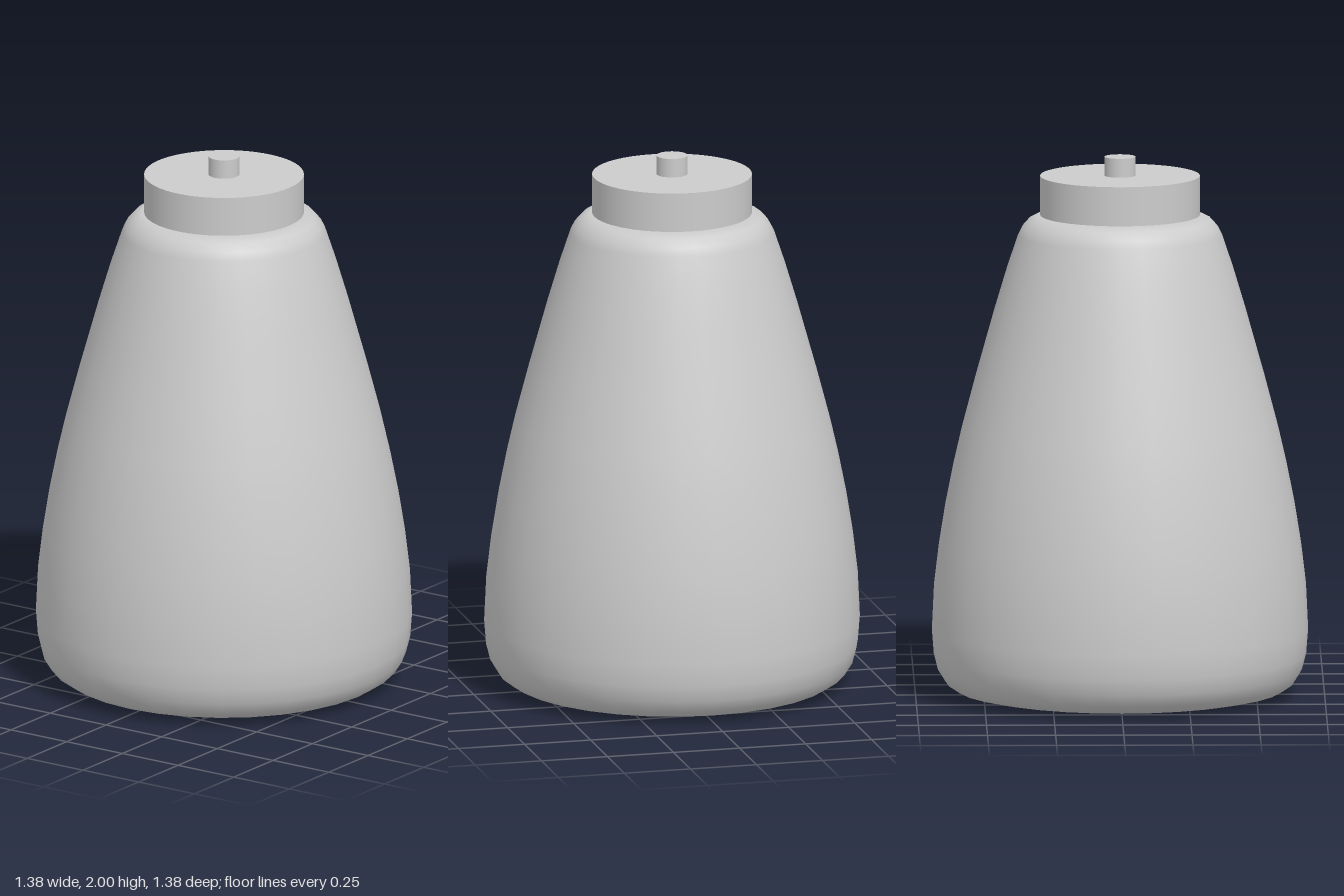
import * as THREE from 'three';

const material = new THREE.MeshStandardMaterial({ color: 0xcccccc });

function addPart(group, name, geometry, y = 0) {
  const mesh = new THREE.Mesh(geometry, material);
  mesh.name = name;
  mesh.position.y = y;
  group.add(mesh);
}

// Upright cylinder standing on y = bottom
function addDisc(group, name, radius, bottom, top) {
  const geometry = new THREE.CylinderGeometry(radius, radius, top - bottom, 64);
  addPart(group, name, geometry, (bottom + top) / 2);
}

export function createModel() {
  const group = new THREE.Group();
  group.name = 'bottle';

  // Tapered body: slightly sagging base, rounded heel, rounded shoulder
  const profile = [
    [0, 0.005], [0.28, 0.008], [0.54, 0.015], [0.6, 0.028], [0.64, 0.055],
    [0.668, 0.1], [0.683, 0.16], [0.69, 0.25], [0.682, 0.42], [0.664, 0.57],
    [0.64, 0.72], [0.61, 0.87], [0.58, 1.0], [0.53, 1.19], [0.46, 1.44],
    [0.415, 1.59], [0.375, 1.71], [0.36, 1.74], [0.335, 1.768], [0.3, 1.785], [0, 1.785],
  ].map(([r, y]) => new THREE.Vector2(r, y));
  addPart(group, 'body', new THREE.LatheGeometry(profile, 32));

  // Flat lid with a small knob
  addDisc(group, 'lid', 0.293, 1.78, 1.93);
  addDisc(group, 'knob', 0.057, 1.93, 2.0);

  return group;
}
